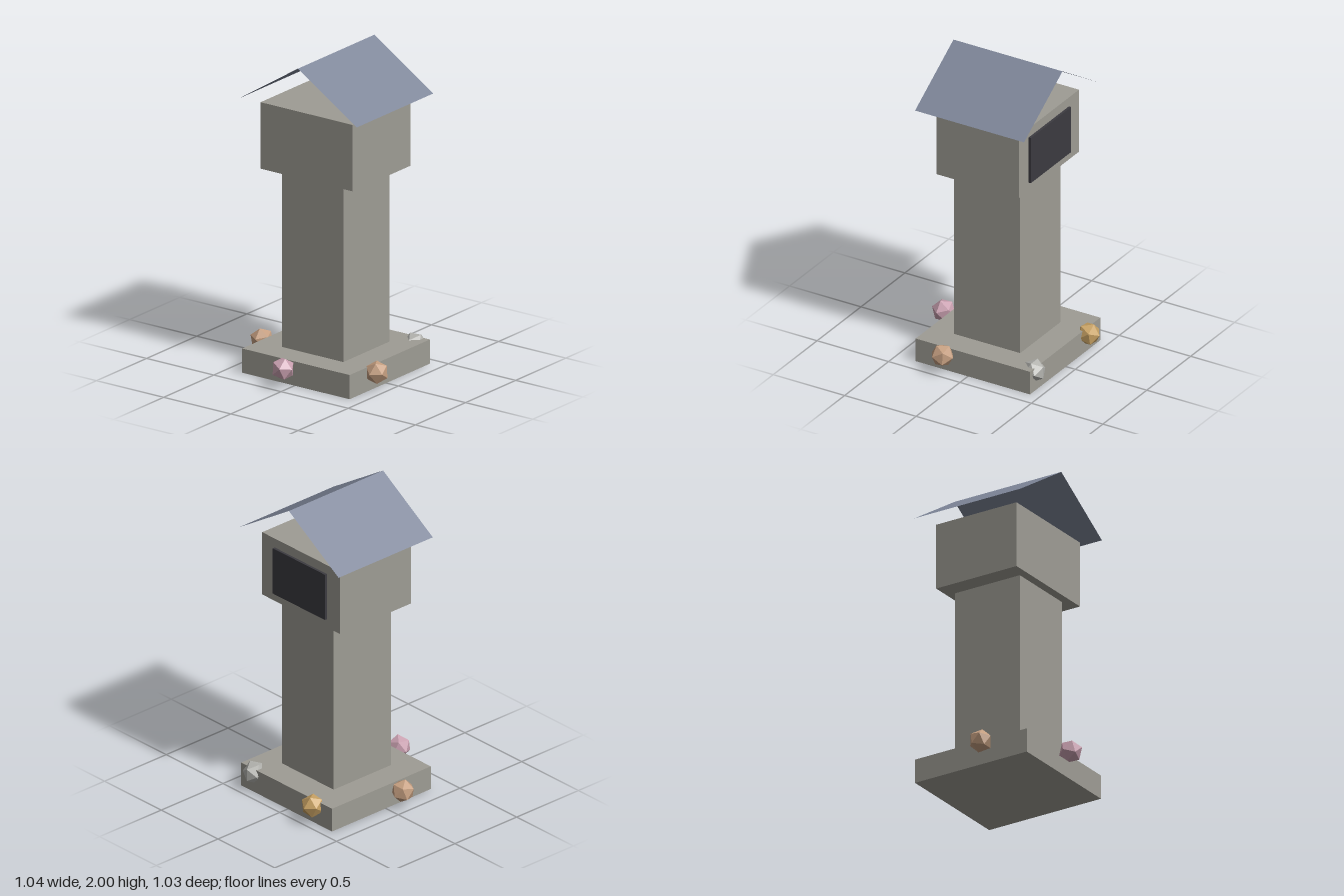
import * as THREE from 'three';

const paint = (name, color, side = THREE.FrontSide) => {
  const m = new THREE.MeshStandardMaterial({ color, side });
  m.name = name;
  m.flatShading = true;
  return m;
};

export function createModel() {
  const group = new THREE.Group();
  const stone = paint('stone', 0x9e9c94);
  const slate = paint('slate', 0x7f879a, THREE.DoubleSide);
  const dark = paint('dark panel', 0x3c3b41);
  const tan = paint('tan', 0xc49e80);
  const pink = paint('pink', 0xc9a0b0);
  const gold = paint('gold', 0xc6a062);
  const grey = paint('pale grey', 0xb4b4b0);

  const add = (name, geometry, material) => {
    const mesh = new THREE.Mesh(geometry, material);
    mesh.name = name;
    group.add(mesh);
    return mesh;
  };

  // Box given by its lower and upper corners
  const block = (name, [x0, y0, z0], [x1, y1, z1], material) =>
    add(name, new THREE.BoxGeometry(x1 - x0, y1 - y0, z1 - z0), material)
      .position.set((x0 + x1) / 2, (y0 + y1) / 2, (z0 + z1) / 2);

  // Stone base, pillar and chamber, with a dark panel on the back
  block('base', [-0.39, 0, -0.435], [0.41, 0.153, 0.365], stone);
  block('pillar', [-0.217, 0.153, -0.262], [0.24, 1.27, 0.2], stone);
  block('chamber', [-0.335, 1.27, -0.32], [0.35, 1.69, 0.255], stone);
  block('backPanel', [-0.22, 1.325, -0.336], [0.24, 1.63, -0.32], dark);

  // Two thin roof slopes meeting at a ridge along z
  const run = 0.438, rise = 0.28;
  for (const side of [-1, 1]) {
    const slope = new THREE.PlaneGeometry(Math.hypot(run, rise), 0.763).rotateX(-Math.PI / 2);
    const roof = add(side < 0 ? 'rightRoofSlope' : 'leftRoofSlope', slope, slate);
    roof.rotation.z = -side * Math.atan2(rise, run);
    roof.position.set(0.01 + side * run / 2, 2 - rise / 2, -0.035);
  }

  // Faceted offerings around the base
  const offerings = [
    ['frontOffering', pink, [-0.03, 0.122, 0.44], [0.3, 0.5, 0.2]],
    ['leftOffering', tan, [0.453, 0.12, 0.152], [0.5, 0.2, 0.35]],
    ['rightOffering', tan, [-0.457, 0.118, 0.078], [0.2, 0.4, 0.6]],
    ['backRightOffering', gold, [-0.235, 0.12, -0.45], [0.6, 0.1, 0.1]],
    ['backLeftOffering', grey, [0.32, 0.115, -0.41], [0, 0, 0]],
  ];
  for (const [name, material, position, rotation] of offerings) {
    const gem = add(name, new THREE.IcosahedronGeometry(0.073, 0), material);
    gem.position.set(...position);
    gem.rotation.set(...rotation);
  }

  return group;
}
